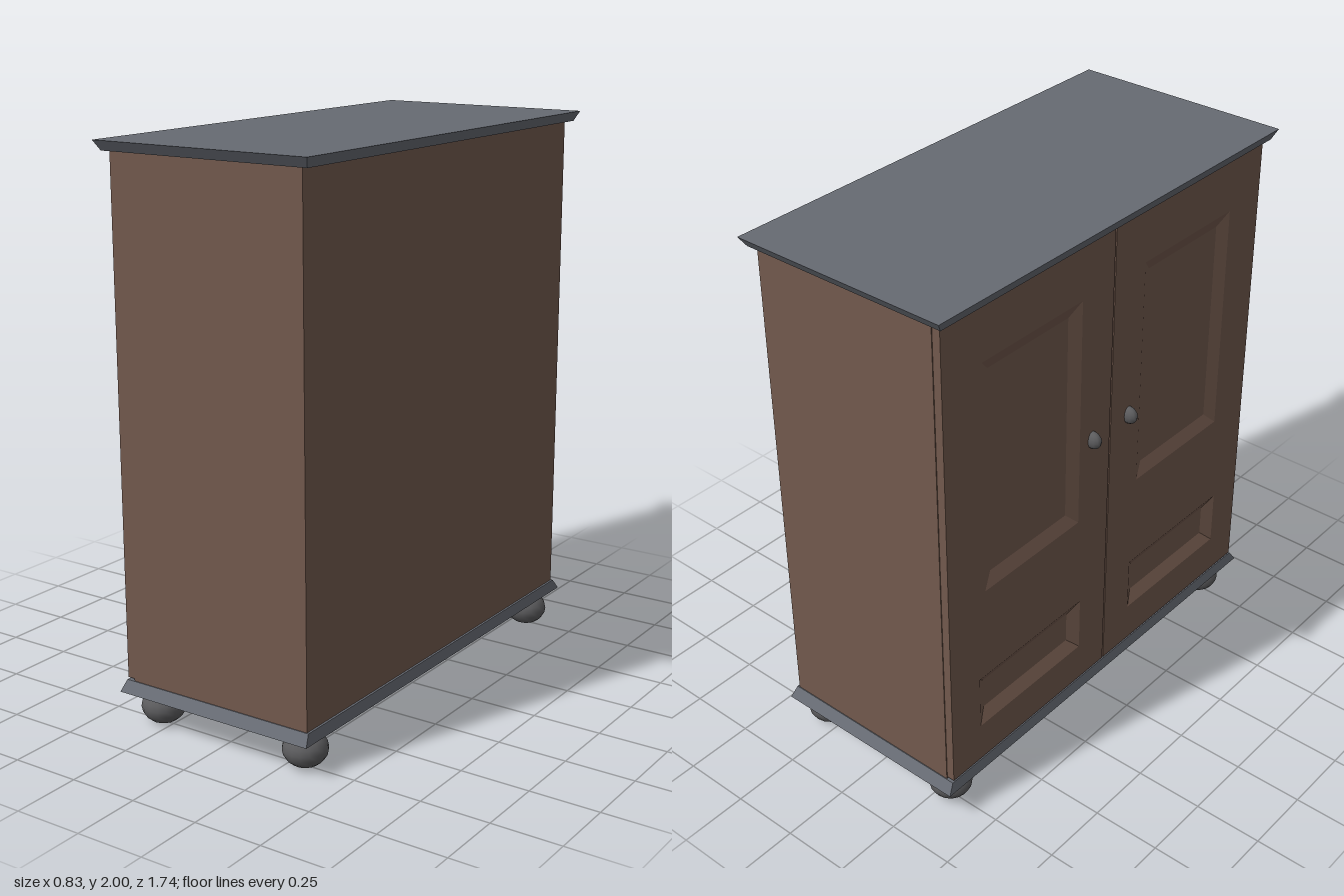
import * as THREE from 'three';

const wood = new THREE.MeshStandardMaterial({ color: 0x72594d });
const woodFlat = new THREE.MeshStandardMaterial({ color: 0x72594d, flatShading: true });
const trim = new THREE.MeshStandardMaterial({ color: 0x666a72 });
trim.flatShading = true;
const metal = new THREE.MeshStandardMaterial({ color: 0x5c5c5e });

function add(parent, name, geometry, material, x = 0, y = 0, z = 0) {
  const mesh = new THREE.Mesh(geometry, material);
  mesh.name = name;
  mesh.position.set(x, y, z);
  parent.add(mesh);
  return mesh;
}

// Box whose lower and upper outlines differ (half sizes), for mouldings.
function flaredSlab(y0, y1, [bx, bz], [tx, tz]) {
  const geo = new THREE.BoxGeometry(2, y1 - y0, 2);
  const p = geo.attributes.position;
  for (let i = 0; i < p.count; i++) {
    const top = p.getY(i) > 0;
    p.setX(i, p.getX(i) * (top ? tx : bx));
    p.setZ(i, p.getZ(i) * (top ? tz : bz));
  }
  geo.translate(0, (y0 + y1) / 2, 0);
  geo.computeVertexNormals();
  return geo;
}

// Corners of a rectangle, counter-clockwise, inset by w.
const corners = ([u0, v0, u1, v1], w = 0) => [
  [u0 + w, v0 + w], [u1 - w, v0 + w], [u1 - w, v1 - w], [u0 + w, v1 - w]];

// Sunken panel: four sloping borders and a flat floor.
function sunkenPanel(rect, w, zFace, zFloor) {
  const outer = corners(rect).map(c => [...c, zFace]);
  const inner = corners(rect, w).map(c => [...c, zFloor]);
  const pos = [];
  const quad = (a, b, c, d) => pos.push(...a, ...b, ...c, ...a, ...c, ...d);
  for (let i = 0; i < 4; i++) {
    const j = (i + 1) % 4;
    quad(outer[i], outer[j], inner[j], inner[i]);
  }
  quad(...inner);
  const geo = new THREE.BufferGeometry();
  geo.setAttribute('position', new THREE.Float32BufferAttribute(pos, 3));
  geo.computeVertexNormals();
  return geo;
}

// Door drawn in its own plane, with two panel openings.
function makeDoor(side) {
  const door = new THREE.Group();
  door.name = side > 0 ? 'doorPositiveZ' : 'doorNegativeZ';
  const span = (a, b, v0, v1) => side > 0 ? [a, v0, b, v1] : [-b, v0, -a, v1];
  const panels = [
    { name: 'upperPanel', rect: span(0.165, 0.65, 0.89, 1.76), w: 0.048, floor: 0.36 },
    { name: 'lowerPanel', rect: span(0.145, 0.685, 0.32, 0.53), w: 0.045, floor: 0.355 },
  ];
  const toVectors = rect => corners(rect).map(([u, v]) => new THREE.Vector2(u, v));
  const shape = new THREE.Shape(toVectors(span(0.003, 0.827, 0.17, 1.965)));
  for (const p of panels) shape.holes.push(new THREE.Path(toVectors(p.rect).reverse()));
  const frame = new THREE.ExtrudeGeometry(shape, { depth: 0.03, bevelEnabled: false });
  add(door, 'doorFrame', frame, wood, 0, 0, 0.35);
  for (const p of panels) add(door, p.name, sunkenPanel(p.rect, p.w, 0.38, p.floor), woodFlat);
  const knob = add(door, 'knob', new THREE.SphereGeometry(1, 12, 8), metal, side * 0.1, 1.2, 0.384);
  knob.scale.set(0.022, 0.033, 0.035);
  return door;
}

export function createModel() {
  const model = new THREE.Group();
  model.name = 'cabinet';

  // Carcass
  add(model, 'carcass', new THREE.BoxGeometry(0.722, 1.81, 1.66), wood, 0.011, 1.062, 0);

  // Top and base mouldings
  add(model, 'top', flaredSlab(1.965, 2, [0.4, 0.845], [0.415, 0.868]), trim);
  add(model, 'base', flaredSlab(0.125, 0.163, [0.39, 0.86], [0.38, 0.833]), trim);

  // Doors face -x
  const doors = new THREE.Group();
  doors.name = 'doors';
  doors.rotation.y = -Math.PI / 2;
  for (const side of [-1, 1]) doors.add(makeDoor(side));
  model.add(doors);

  // Bun feet
  const bun = new THREE.SphereGeometry(1, 16, 10);
  for (const x of [-0.29, 0.308]) {
    for (const z of [-0.747, 0.75]) {
      add(model, 'foot', bun, metal, x, 0.0635, z).scale.set(0.078, 0.0635, 0.078);
    }
  }
  return model;
}
